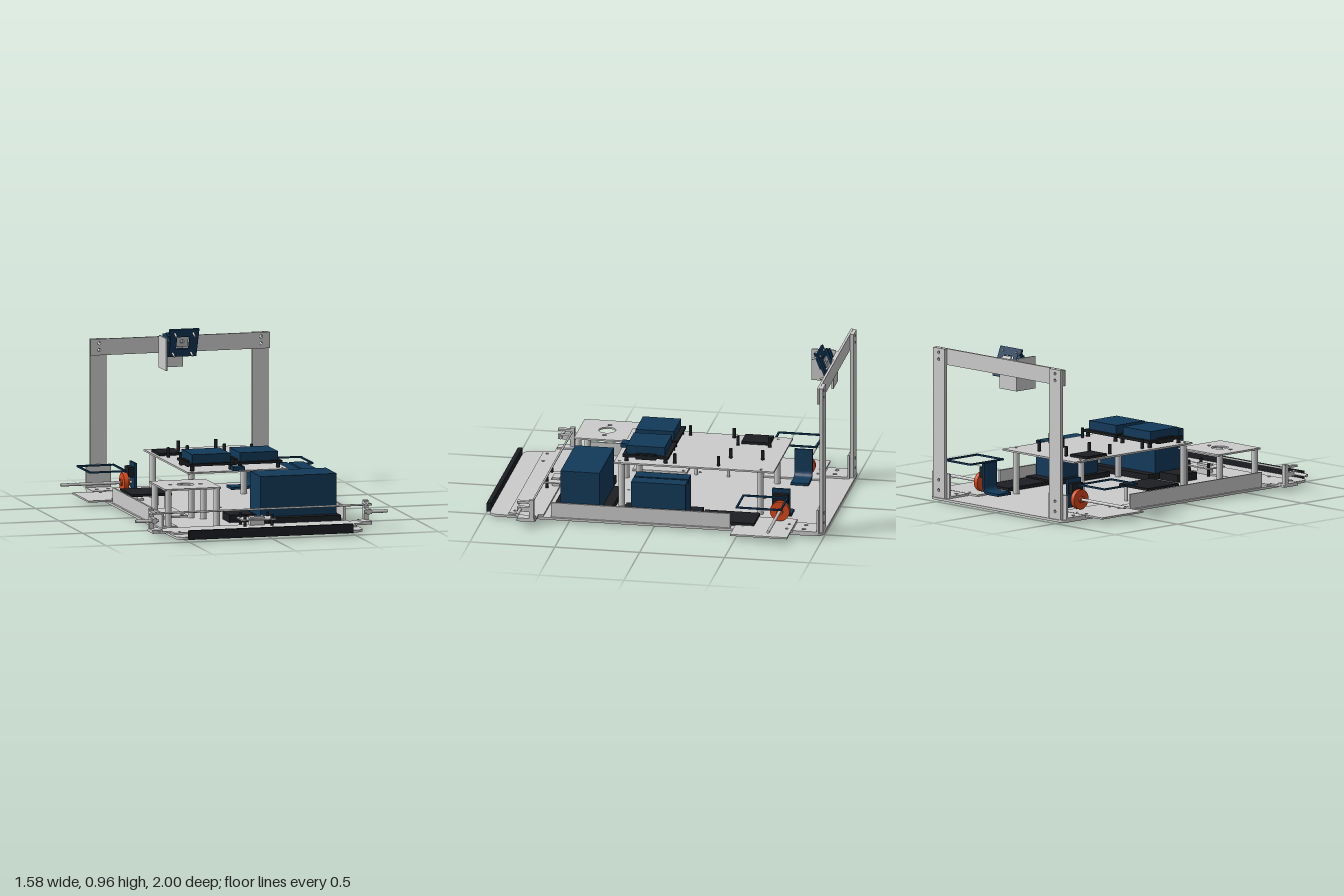
import * as THREE from 'three';

const mat = (color) => new THREE.MeshStandardMaterial({ color });

export function createModel() {
  const root = new THREE.Group();
  const grey = mat(0xcccccc), black = mat(0x1c1e22), blue = mat(0x123a5a), orange = mat(0xd9481c);

  const add = (name, geo, m, parent = root) => {
    const mesh = new THREE.Mesh(geo, m);
    mesh.name = name;
    parent.add(mesh);
    return mesh;
  };
  // box from its min and max on each axis
  const box = (name, m, x0, x1, y0, y1, z0, z1, parent) =>
    add(name, new THREE.BoxGeometry(x1 - x0, y1 - y0, z1 - z0)
      .translate((x0 + x1) / 2, (y0 + y1) / 2, (z0 + z1) / 2), m, parent);
  const post = (name, m, x, z, y0, y1, r, parent) =>
    add(name, new THREE.CylinderGeometry(r, r, y1 - y0, 20).translate(x, (y0 + y1) / 2, z), m, parent);
  const rod = (name, m, x0, x1, y, z, r, parent) =>
    add(name, new THREE.CylinderGeometry(r, r, x1 - x0, 24).rotateZ(Math.PI / 2)
      .translate((x0 + x1) / 2, y, z), m, parent);
  const outline = (points, holes = []) => {
    const s = new THREE.Shape(points.map(([a, b]) => new THREE.Vector2(a, b)));
    for (const [x, y, r] of holes) s.holes.push(new THREE.Path().absarc(x, y, r, 0, Math.PI * 2, true));
    return s;
  };
  const rect = (a0, a1, b0, b1) => [[a0, b0], [a1, b0], [a1, b1], [a0, b1]];
  const extrude = (shape, depth) => new THREE.ExtrudeGeometry(shape, { depth, bevelEnabled: false, curveSegments: 10 });
  // horizontal sheet drawn in x, z with its top at y
  const sheet = (name, m, points, y, t, holes, parent) =>
    add(name, extrude(outline(points, holes), t).rotateX(Math.PI / 2).translate(0, y, 0), m, parent);

  // base plate with rounded corners and drilled holes
  const base = [];
  const r = 0.05;
  for (const [cx, cz, a] of [[0.515, 0.92, 0], [-0.515, 0.92, 1], [-0.515, -0.95, 2], [0.515, -0.95, 3]])
    for (let i = 0; i <= 5; i++) {
      const t = (a + i / 5) * Math.PI / 2;
      base.push([cx + r * Math.cos(t), cz + r * Math.sin(t)]);
    }
  const drill = [];
  for (const x of [-0.38, 0, 0.38]) for (const z of [-0.55, -0.1, 0.25, 0.6]) drill.push([x, z, 0.008]);
  sheet('basePlate', grey, base, 0.025, 0.014, drill);
  box('frontBumper', black, -0.5, 0.49, 0.012, 0.065, 0.97, 0.996);
  for (const z of [0.1, -0.197]) box('bottomPad', black, -0.13, 0.125, 0, 0.012, z - 0.037, z + 0.037);

  // parts that repeat on both sides
  for (const s of [-1, 1]) {
    const side = new THREE.Group();
    side.name = s > 0 ? 'leftSide' : 'rightSide';
    root.add(side);
    const sbox = (name, m, a, b, y0, y1, z0, z1) =>
      box(name, m, Math.min(s * a, s * b), Math.max(s * a, s * b), y0, y1, z0, z1, side);
    const srod = (name, m, a, b, y, z, rad) => rod(name, m, Math.min(s * a, s * b), Math.max(s * a, s * b), y, z, rad, side);

    // angle rail
    sbox('railWall', grey, 0.54, 0.552, 0.025, 0.112, -0.45, 0.605);
    sbox('railFlange', grey, 0.46, 0.54, 0.025, 0.036, -0.45, 0.605);

    // mast with its corner bracket
    const upright = outline(rect(s * 0.487 - 0.048, s * 0.487 + 0.048, 0.025, 0.905),
      [0.07, 0.13, 0.84, 0.88].map((y) => [s * 0.487, y, 0.009]));
    add('mast', extrude(upright, 0.02).translate(0, 0, -0.993), grey, side);
    sheet('mastFoot', grey, rect(s * 0.49 - 0.075, s * 0.49 + 0.075, -0.965, -0.82), 0.037, 0.012,
      [[s * 0.525, -0.88, 0.012], [s * 0.455, -0.88, 0.012]], side);
    sbox('mastFootWall', grey, 0.415, 0.565, 0.025, 0.17, -0.973, -0.962);

    // rear drive unit
    sheet('wheelPlate', grey, rect(s * 0.522 - 0.167, s * 0.522 + 0.167, -0.81, -0.475), 0.035, 0.01,
      [[s * 0.45, -0.78, 0.008], [s * 0.53, -0.78, 0.008], [s * 0.45, -0.52, 0.008], [s * 0.53, -0.52, 0.008]], side);
    sbox('guardFrameFront', blue, 0.45, 0.675, 0.19, 0.2, -0.515, -0.505);
    sbox('guardFrameBack', blue, 0.45, 0.675, 0.19, 0.2, -0.775, -0.765);
    sbox('guardFrameInner', blue, 0.45, 0.46, 0.19, 0.2, -0.765, -0.515);
    sbox('guardFrameOuter', blue, 0.665, 0.675, 0.19, 0.2, -0.765, -0.515);
    srod('rearShaft', grey, 0.36, 0.788, 0.097, -0.717, 0.009);
    srod('encoderWheel', orange, 0.392, 0.42, 0.097, -0.717, 0.058);
    srod('wheelHub', orange, 0.375, 0.43, 0.097, -0.717, 0.02);

    // bent sensor bracket, drawn in x and y
    const bend = new THREE.Shape();
    bend.moveTo(s * 0.36, 0.215);
    bend.lineTo(s * 0.36, 0.085);
    bend.quadraticCurveTo(s * 0.355, 0.035, s * 0.31, 0.035);
    bend.lineTo(s * 0.225, 0.035);
    bend.lineTo(s * 0.225, 0.05);
    bend.lineTo(s * 0.305, 0.05);
    bend.quadraticCurveTo(s * 0.345, 0.05, s * 0.345, 0.09);
    bend.lineTo(s * 0.345, 0.215);
    add('sensorBracket', extrude(bend, 0.105).translate(0, 0, -0.767), blue, side);
    sbox('sensor', black, 0.36, 0.39, 0.13, 0.19, -0.76, -0.675);

    // front axle holder
    sbox('axleFoot', grey, 0.6, 0.66, 0.035, 0.045, 0.685, 0.785);
    sbox('axlePost', grey, 0.632, 0.66, 0.045, 0.157, 0.688, 0.715);
    sbox('axleTopArm', grey, 0.632, 0.66, 0.135, 0.147, 0.715, 0.785);
    sbox('axleArm', grey, 0.632, 0.66, 0.085, 0.112, 0.715, 0.785);
    srod('frontAxle', grey, 0.62, 0.758, 0.098, 0.768, 0.01);
  }

  // front cross plate and long rod
  sheet('frontCrossPlate', grey, [[-0.55, 0.65], [0.55, 0.65], [0.55, 0.68], [0.66, 0.68], [0.66, 0.79], [0.55, 0.79],
    [0.55, 0.855], [-0.55, 0.855], [-0.55, 0.79], [-0.66, 0.79], [-0.66, 0.68], [-0.55, 0.68]], 0.035, 0.01,
    [-0.51, -0.38, 0.38, 0.51].map((x) => [x, 0.825, 0.009]));
  rod('frontRod', grey, -0.635, 0.635, 0.13, 0.705, 0.006);

  // cross bar on the masts
  add('crossBar', extrude(outline(rect(-0.54, 0.54, 0.81, 0.905),
    [-1, 1].flatMap((s) => [0.84, 0.88].map((y) => [s * 0.487, y, 0.009]))), 0.014).translate(0, 0, -0.972), grey);

  // camera bracket and tilted camera
  box('cameraMount', grey, -0.13, 0.015, 0.725, 0.905, -0.958, -0.948);
  box('cameraMountSide', grey, -0.13, -0.12, 0.725, 0.915, -0.948, -0.805);
  const camera = new THREE.Group();
  camera.name = 'camera';
  camera.position.set(0, 0.872, -0.905);
  camera.rotation.x = 0.38;
  root.add(camera);
  const face = outline(rect(-0.09, 0.09, -0.09, 0.09));
  face.holes.push(new THREE.Path(rect(-0.038, 0.038, -0.04, 0.04).map(([a, b]) => new THREE.Vector2(a, b))));
  add('cameraFrame', extrude(face, 0.012).translate(0, 0, -0.006), blue, camera);
  const lens = outline(rect(-0.035, 0.035, -0.035, 0.035), [[0, 0, 0.012]]);
  add('cameraBoard', extrude(lens, 0.008).translate(0, 0, -0.02), grey, camera);
  box('cameraArm', blue, -0.118, -0.095, -0.05, 0.05, -0.03, 0.07, camera);
  box('cameraHinge', blue, -0.1, -0.08, -0.06, 0.06, -0.02, 0.02, camera);
  for (const x of [-0.055, 0.055]) for (const y of [-0.065, 0.065])
    add('cameraPin', new THREE.CylinderGeometry(0.006, 0.006, 0.06, 12).rotateX(Math.PI / 2).translate(x, y, 0.015), grey, camera);

  // upper deck on four posts
  const deckHoles = [];
  for (const x of [-0.27, 0.27]) for (const z of [-0.58, 0.255]) deckHoles.push([x, z, 0.008]);
  sheet('upperDeck', grey, rect(-0.305, 0.3, -0.66, 0.283), 0.295, 0.01, deckHoles);
  for (const x of [-0.273, 0.273]) for (const z of [-0.575, 0.24]) post('deckPost', grey, x, z, 0.025, 0.285, 0.019);
  for (const [x, z] of [[0.1, -0.557], [0.1, -0.37], [0.25, -0.325], [0.25, -0.067],
    [-0.125, -0.557], [-0.125, -0.37], [-0.25, -0.325], [-0.25, -0.067]])
    post('deckStandoff', black, x, z, 0.295, 0.352, 0.01);
  box('deckBoard', black, -0.287, -0.153, 0.295, 0.31, -0.553, -0.385);

  // two controllers on trays
  for (const x of [-0.145, 0.142]) {
    box('controllerTray', black, x - 0.135, x + 0.135, 0.322, 0.337, -0.035, 0.237);
    box('controllerBox', blue, x - 0.115, x + 0.115, 0.337, 0.388, -0.01, 0.215);
    for (const dx of [-0.115, 0.115]) {
      box('trayLip', black, x + dx - 0.014, x + dx + 0.014, 0.31, 0.345, 0.04, 0.16);
      for (const dz of [-0.115, 0.115]) post('trayLeg', black, x + dx, 0.1 + dz, 0.295, 0.322, 0.012);
    }
  }
  box('smallConnector', blue, -0.035, 0.035, 0.295, 0.318, 0.238, 0.292);

  // small platform with a round opening
  sheet('sidePlatform', grey, rect(-0.535, -0.197, 0.27, 0.61), 0.253, 0.01,
    [[-0.366, 0.445, 0.05], [-0.456, 0.445, 0.012], [-0.276, 0.445, 0.012]]);
  for (const x of [-0.51, -0.218]) for (const z of [0.305, 0.587]) post('platformPost', grey, x, z, 0.025, 0.243, 0.019);

  // boards on the floor
  sheet('floorBoard', grey, rect(-0.537, -0.305, -0.035, 0.285), 0.045, 0.012,
    [[-0.51, -0.01, 0.009], [-0.33, -0.01, 0.009], [-0.51, 0.25, 0.009], [-0.33, 0.25, 0.009]]);
  box('sideBoard', black, -0.545, -0.305, 0.112, 0.126, -0.305, -0.055);
  for (const x of [-0.515, -0.335]) for (const z of [-0.275, -0.085]) post('boardPost', grey, x, z, 0.025, 0.112, 0.01);
  box('rearBoard', black, 0.33, 0.52, 0.03, 0.05, -0.585, -0.262);
  box('centreBoard', black, -0.115, 0.035, 0.025, 0.07, 0.345, 0.5);

  // twin battery and large battery on black bases
  box('twinBatteryBase', black, 0.305, 0.53, 0.025, 0.055, -0.25, 0.205);
  for (const x of [0.378, 0.478]) box('battery', blue, x - 0.043, x + 0.043, 0.055, 0.26, -0.18, 0.14);
  box('batteryDivider', blue, 0.42, 0.436, 0.055, 0.235, -0.18, 0.14);
  box('largeBatteryBase', black, 0.05, 0.525, 0.025, 0.06, 0.27, 0.61);
  box('largeBattery', blue, 0.055, 0.513, 0.06, 0.297, 0.327, 0.557);

  // small front sensor plate on standoffs
  const slot = outline(rect(-0.105, 0.098, 0.605, 0.735));
  slot.holes.push(new THREE.Path(rect(-0.05, 0.045, 0.645, 0.7).map(([a, b]) => new THREE.Vector2(a, b))));
  add('frontSensorPlate', extrude(slot, 0.008).rotateX(Math.PI / 2).translate(0, 0.075, 0), grey);
  box('frontSensor', grey, -0.045, 0.04, 0.035, 0.085, 0.65, 0.695);
  for (const x of [-0.085, 0.078]) for (const z of [0.622, 0.718]) post('sensorStandoff', black, x, z, 0.025, 0.1, 0.009);

  return root;
}
